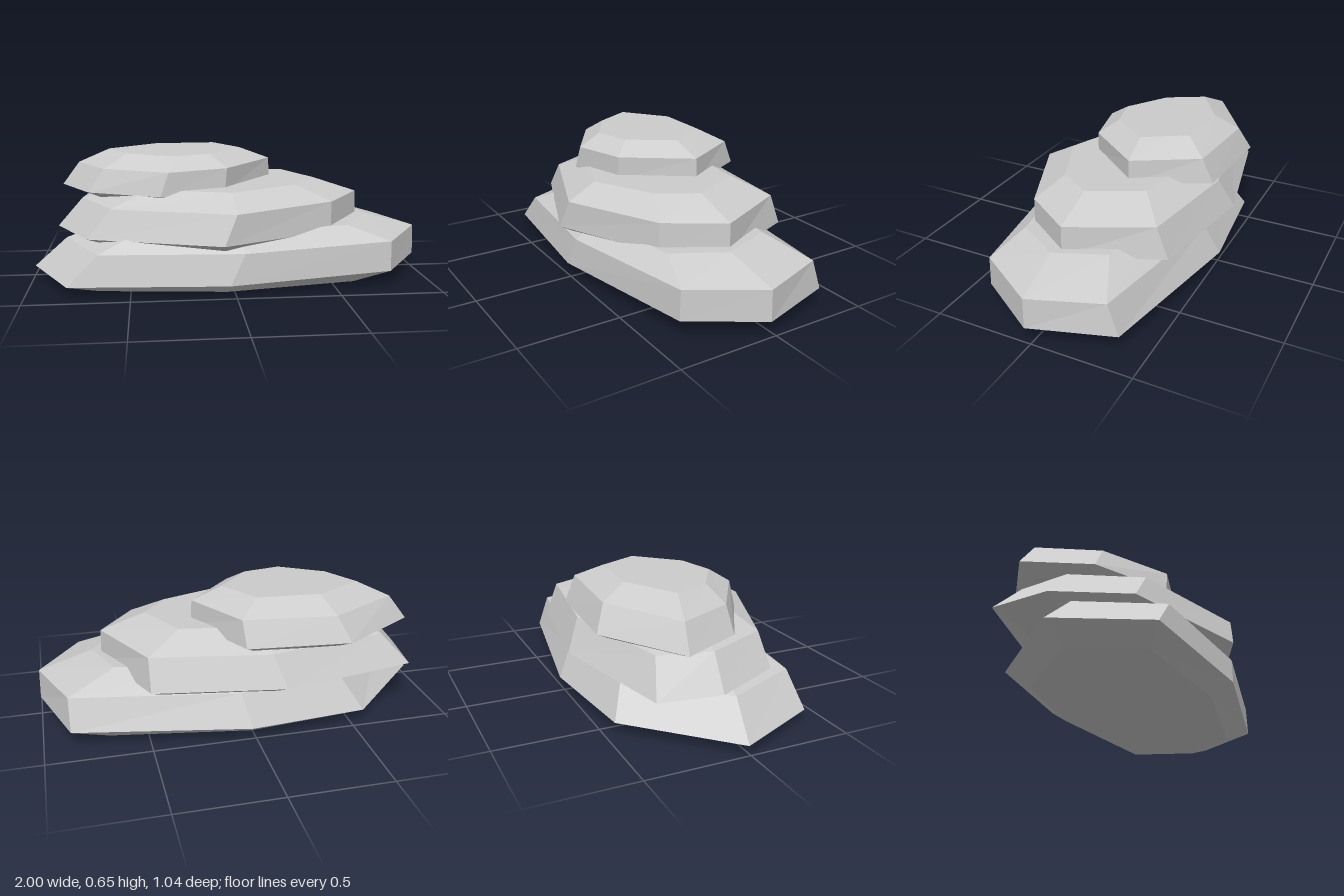
import * as THREE from 'three';

// Each slab: widest and shoulder outlines ([x, z] pairs), the scale and centre that shrink them
// to the underside and the crown, and the height and slope along x and z of each level
const SLABS = [
  {
    name: 'bottomSlab',
    under: { scale: 0.8, centre: [-0.05, -0.06] },
    crown: { scale: 0.73, centre: [0, 0.1] },
    wide: [[1, 0.03], [0.78, 0.36], [-0.03, 0.5], [-0.8, 0.41], [-1, -0.01], [-0.57, -0.45], [0.02, -0.515], [0.87, -0.37]],
    shoulder: [[0.995, 0.03], [0.78, 0.355], [0.04, 0.48], [-0.65, 0.4], [-0.83, 0.02], [-0.47, -0.38], [0.06, -0.44], [0.87, -0.315]],
    levels: [[0, 0, 0], [0.062, 0.015, 0], [0.215, 0.015, -0.01], [0.298, 0.013, -0.035]],
  },
  {
    name: 'middleSlab',
    under: { scale: 0.8, centre: [0, 0] },
    crown: { scale: 0.68, centre: [-0.03, 0.03] },
    wide: [[0.68, 0.02], [0.49, 0.285], [-0.06, 0.52], [-0.71, 0.27], [-0.88, -0.07], [-0.84, -0.37], [-0.15, -0.52], [0.49, -0.43]],
    shoulder: [[0.675, 0.02], [0.49, 0.28], [0, 0.495], [-0.59, 0.27], [-0.75, -0.05], [-0.7, -0.31], [-0.09, -0.45], [0.49, -0.37]],
    levels: [[0.2, 0.01, 0], [0.258, 0.015, 0], [0.408, 0.018, -0.012], [0.487, 0.02, -0.025]],
  },
  {
    name: 'topSlab',
    under: { scale: 0.82, centre: [-0.28, -0.1] },
    crown: { scale: 0.68, centre: [-0.26, -0.06] },
    wide: [[0.235, -0.1], [-0.03, 0.205], [-0.35, 0.28], [-0.71, 0.07], [-0.865, -0.23], [-0.47, -0.49], [0.04, -0.465]],
    shoulder: [[0.23, -0.1], [-0.02, 0.2], [-0.31, 0.27], [-0.63, 0.07], [-0.775, -0.21], [-0.41, -0.435], [0.05, -0.41]],
    levels: [[0.415, 0.015, 0], [0.458, 0.022, 0], [0.578, 0.025, -0.01], [0.641, 0.014, -0.022]],
  },
];

// Loft the four rings of a slab and close both ends
function slabGeometry({ under, crown, wide, shoulder, levels }) {
  const shrink = (ring, { scale, centre: [cx, cz] }) =>
    ring.map(([x, z]) => [cx + (x - cx) * scale, cz + (z - cz) * scale]);
  const rings = [shrink(wide, under), wide, shoulder, shrink(shoulder, crown)];
  const n = wide.length;
  const positions = [];
  rings.forEach((ring, r) => {
    const [height, slopeX, slopeZ] = levels[r];
    for (const [x, z] of ring) positions.push(x, height + slopeX * x + slopeZ * z, z);
  });

  const index = [];
  for (let r = 0; r < 3; r++) {
    for (let i = 0; i < n; i++) {
      const a = r * n + i, b = r * n + (i + 1) % n;
      index.push(b, a, a + n, b, a + n, b + n);
    }
  }
  const top = 3 * n;
  for (let i = 1; i < n - 1; i++) {
    index.push(0, i, i + 1);
    index.push(top, top + i + 1, top + i);
  }

  const indexed = new THREE.BufferGeometry();
  indexed.setAttribute('position', new THREE.Float32BufferAttribute(positions, 3));
  indexed.setIndex(index);
  const geometry = indexed.toNonIndexed(); // separate corners give flat facets
  geometry.computeVertexNormals();
  return geometry;
}

export function createModel() {
  const model = new THREE.Group();
  model.name = 'stackedRock';
  const stone = new THREE.MeshStandardMaterial({ color: 0xcccccc });
  stone.name = 'paleStone';

  for (const slab of SLABS) {
    const mesh = new THREE.Mesh(slabGeometry(slab), stone);
    mesh.name = slab.name;
    model.add(mesh);
  }
  return model;
}
